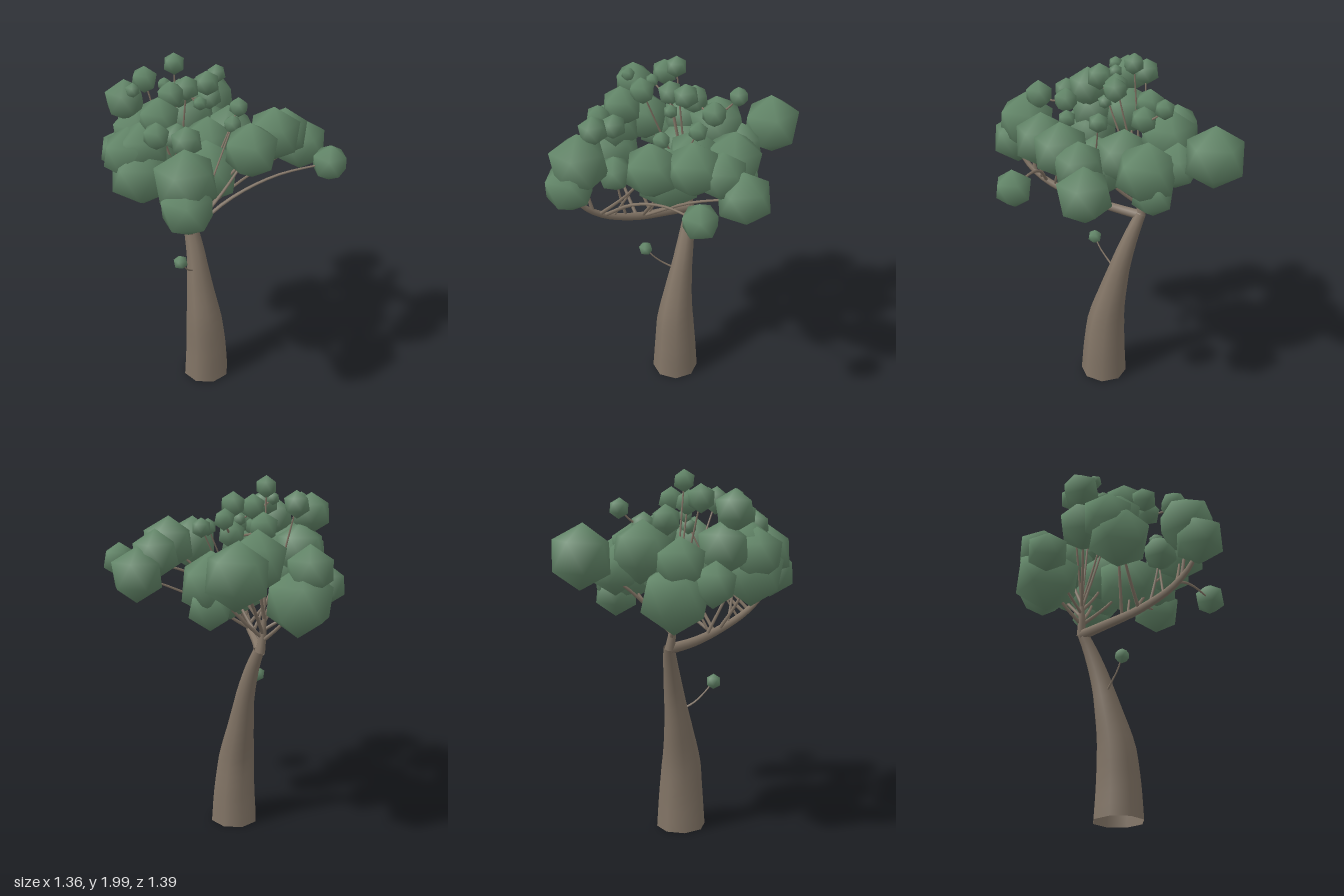
import * as THREE from 'three';

const bark = new THREE.MeshStandardMaterial({ color: 0x857768, side: THREE.DoubleSide });
const leaf = new THREE.MeshStandardMaterial({ color: 0x64886a });

const curveOf = (pts) => new THREE.CatmullRomCurve3(pts.map((p) => new THREE.Vector3(...p)));

// Tube whose radius follows a list of radii spread evenly along the path
function taperedTube(name, curve, radii, segments, sides) {
  const geo = new THREE.TubeGeometry(curve, segments, 1, sides, false);
  const pos = geo.attributes.position;
  const v = new THREE.Vector3();
  for (let i = 0; i <= segments; i++) {
    const centre = curve.getPointAt(i / segments);
    const f = (i / segments) * (radii.length - 1);
    const k = Math.min(Math.floor(f), radii.length - 2);
    const r = THREE.MathUtils.lerp(radii[k], radii[k + 1], f - k);
    for (let j = 0; j <= sides; j++) {
      const n = i * (sides + 1) + j;
      v.fromBufferAttribute(pos, n).sub(centre).multiplyScalar(r).add(centre);
      pos.setXYZ(n, v.x, v.y, v.z);
    }
  }
  const mesh = new THREE.Mesh(geo, bark);
  mesh.name = name;
  return mesh;
}

// Icosahedron standing on a corner, with smooth normals
function clumpGeometry() {
  const geo = new THREE.IcosahedronGeometry(1, 0);
  geo.rotateZ(Math.atan(2 / (1 + Math.sqrt(5))));
  geo.setAttribute('normal', geo.attributes.position.clone());
  return geo;
}

// Leaf clumps: x, y, z, radius, and where along the parent the branch starts.
// Those without a start grow on a twig from the nearest clump.
const limbClumps = [
  [0.335, 1.48, -0.33, 0.152, 0.36], [0.28, 1.58, -0.22, 0.137], [0.28, 1.62, -0.08, 0.152, 0.38],
  [0.245, 1.6, 0.13, 0.152, 0.7], [0.06, 1.72, -0.11, 0.055, 0.34],
  [0.115, 1.7, 0.08, 0.05, 0.6], [0, 1.45, 0.33, 0.103, 0.5],
  [0.07, 1.55, 0.51, 0.17, 0.75], [0.035, 1.72, 0.43, 0.082], [-0.075, 1.69, 0.33, 0.072],
  [-0.27, 1.46, 0.36, 0.178, 0.42], [-0.27, 1.6, 0.33, 0.142, 0.3], [-0.34, 1.56, 0.365, 0.147],
  [-0.2, 1.75, 0.285, 0.115], [-0.145, 1.71, 0.41, 0.073], [0.105, 1.435, 0.565, 0.145],
];
const stemClumps = [
  [-0.35, 1.56, -0.55, 0.172, 0.5], [-0.1, 1.46, -0.31, 0.178, 0.4], [-0.11, 1.35, -0.35, 0.125],
  [-0.32, 1.58, -0.24, 0.168, 0.9], [-0.26, 1.48, -0.37, 0.13], [-0.5, 1.365, -0.09, 0.195, 0.3],
  [-0.55, 1.53, -0.075, 0.138], [-0.575, 1.43, 0.09, 0.12, 0.6], [-0.05, 1.385, 0.04, 0.187, 0.3],
  [-0.12, 1.48, -0.1, 0.16, 0.7], [-0.4, 1.6, 0.17, 0.147, 0.8], [-0.44, 1.79, 0.22, 0.112],
  [-0.165, 1.71, -0.21, 0.074], [-0.185, 1.8, -0.34, 0.056], [-0.3, 1.74, -0.11, 0.083],
  [-0.18, 1.83, 0.025, 0.07, 0.9], [-0.1, 1.845, -0.055, 0.07], [-0.27, 1.94, -0.01, 0.06, 0.95],
  [-0.1, 1.76, 0.026, 0.04], [-0.42, 1.85, 0.05, 0.075, 0.85], [-0.257, 1.87, 0.12, 0.038],
  [-0.19, 1.84, 0.175, 0.075, 0.75], [-0.37, 1.86, 0.25, 0.04],
];

export function createModel() {
  const tree = new THREE.Group();
  tree.name = 'tree';

  // Leaning trunk with a flared foot
  tree.add(taperedTube('trunk', curveOf([
    [-0.088, 0.008, 0.005], [-0.09, 0.2, 0.004], [-0.105, 0.4, 0.002], [-0.14, 0.6, -0.02],
    [-0.18, 0.8, -0.05], [-0.235, 0.98, -0.078], [-0.275, 1.075, -0.092],
  ]), [0.138, 0.126, 0.112, 0.085, 0.062, 0.046, 0.03], 18, 8));

  // Long limb sweeping forward, and the short upright stem
  const limb = curveOf([
    [-0.28, 1.065, -0.09], [-0.2, 1.085, 0.05], [-0.07, 1.135, 0.23],
    [0.04, 1.22, 0.41], [0.09, 1.32, 0.52], [0.105, 1.43, 0.565],
  ]);
  tree.add(taperedTube('mainLimb', limb, [0.029, 0.024, 0.019, 0.01], 16, 7));
  const stem = curveOf([[-0.28, 1.06, -0.09], [-0.288, 1.16, -0.075], [-0.295, 1.27, -0.07]]);
  tree.add(taperedTube('upperStem', stem, [0.028, 0.02, 0.01], 6, 7));

  // Each clump is turned and tipped a little
  const ball = clumpGeometry();
  const foliage = new THREE.Group();
  foliage.name = 'foliage';
  const branches = new THREE.Group();
  branches.name = 'branches';
  tree.add(foliage, branches);

  function addClump([x, y, z, r]) {
    const clump = new THREE.Mesh(ball, leaf);
    clump.name = 'leafClump';
    clump.position.set(x, y, z);
    clump.scale.setScalar(r);
    const a = foliage.children.length * 2.4;
    clump.rotation.set(0.05 * Math.cos(a), a, 0.05 * Math.sin(a));
    foliage.add(clump);
  }

  // A branch leaves its parent, then bends into the clump
  function addBranch(start, end, radius) {
    const mid = start.clone().lerp(end, 0.5);
    mid.y += Math.hypot(end.x - start.x, end.z - start.z) > 0.45 ? 0.03 : -0.02;
    const path = new THREE.CatmullRomCurve3([start, mid, end]);
    branches.add(taperedTube('branch', path, [radius, radius * 0.75, radius * 0.5], 8, 5));
  }

  for (const [parent, clumps] of [[limb, limbClumps], [stem, stemClumps]]) {
    const grown = [];
    for (const c of clumps) {
      const end = new THREE.Vector3(c[0], c[1], c[2]);
      const start = c.length > 4
        ? parent.getPointAt(c[4])
        : grown.reduce((a, b) => (b.distanceTo(end) < a.distanceTo(end) ? b : a));
      addBranch(start.clone(), end, 0.006 + 0.03 * c[3]);
      addClump(c);
      grown.push(end);
    }
  }

  // Far-reaching branch on the left with one clump at its tip
  const reach = curveOf([[0.03, 1.21, 0.39], [0.18, 1.36, 0.24], [0.36, 1.46, 0.08], [0.59, 1.51, -0.095]]);
  branches.add(taperedTube('reachingBranch', reach, [0.011, 0.008, 0.005], 12, 5));
  addClump([0.59, 1.51, -0.095, 0.1]);

  // Small sprout low on the trunk
  const sprout = curveOf([[-0.165, 0.7, -0.01], [-0.165, 0.745, 0.07], [-0.157, 0.8, 0.13], [-0.157, 0.855, 0.175]]);
  tree.add(taperedTube('sproutTwig', sprout, [0.007, 0.005, 0.004], 8, 5));
  addClump([-0.157, 0.855, 0.175, 0.043]);

  return tree;
}
